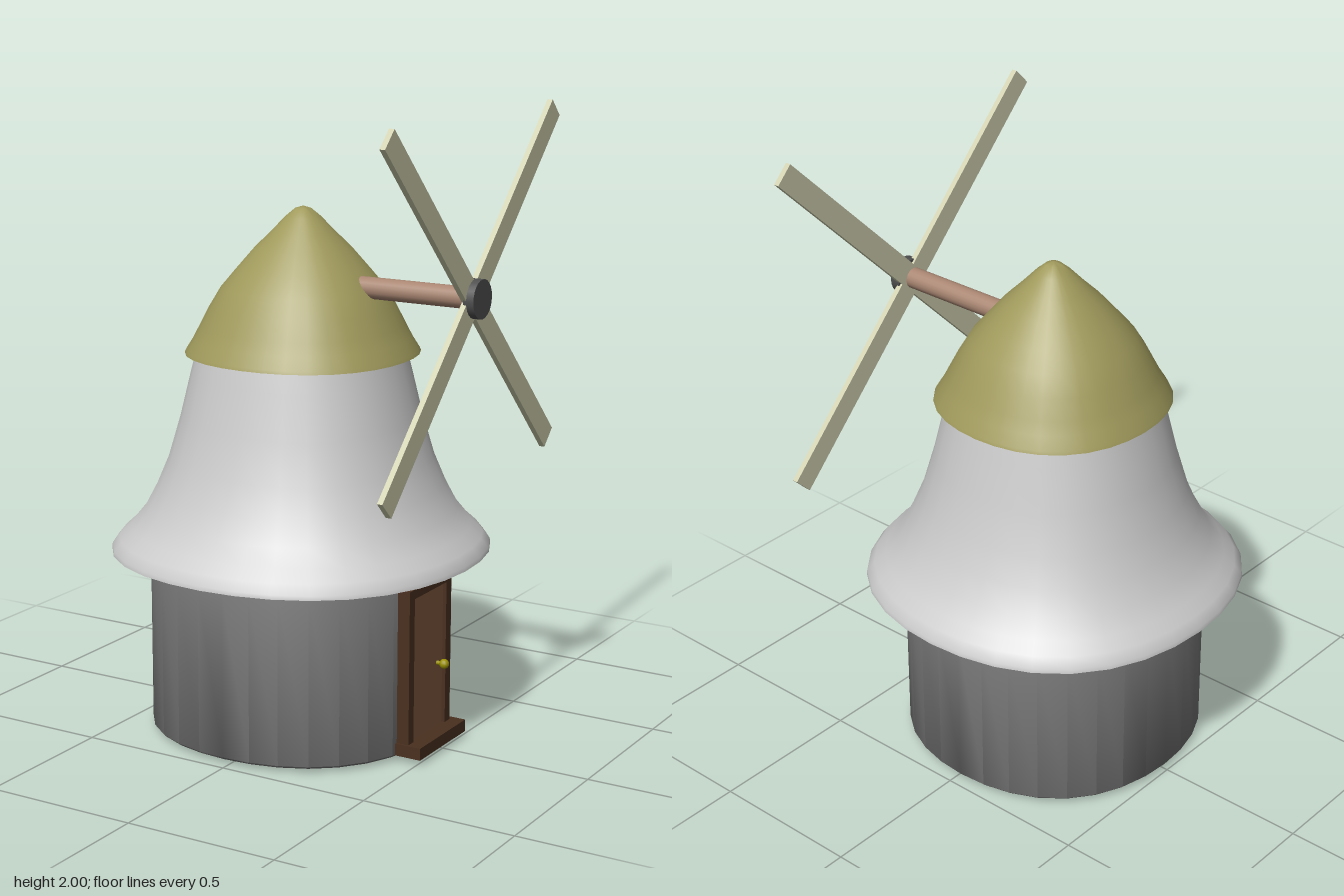
import * as THREE from 'three';
import { toCreasedNormals } from 'three/addons/utils/BufferGeometryUtils.js';

const AXIS_X = -0.02;   // centre line of the tower
const HUB_Y = 1.44, HUB_Z = -0.008;

export function createModel() {
  const group = new THREE.Group();
  group.name = 'windmill';

  const add = (name, geometry, color, x = 0, y = 0, z = 0, parent = group) => {
    const mesh = new THREE.Mesh(geometry, new THREE.MeshStandardMaterial({ color }));
    mesh.name = name;
    mesh.position.set(x, y, z);
    parent.add(mesh);
    return mesh;
  };

  // Box given by its min and max corners
  const block = (name, color, [x0, y0, z0], [x1, y1, z1], parent) =>
    add(name, new THREE.BoxGeometry(x1 - x0, y1 - y0, z1 - z0), color,
      (x0 + x1) / 2, (y0 + y1) / 2, (z0 + z1) / 2, parent);

  // Turned body, its rings slightly squared on the diagonals
  const turned = (name, color, profile, z = 0) => {
    const geometry = new THREE.LatheGeometry(profile.map(([r, y]) => new THREE.Vector2(r, y)), 32);
    const p = geometry.attributes.position;
    for (let i = 0; i < p.count; i++) {
      const s = Math.sin(2 * Math.atan2(p.getZ(i), p.getX(i)));
      const k = 1 + 0.033 * s * s;
      p.setX(i, p.getX(i) * k);
      p.setZ(i, p.getZ(i) * k);
    }
    return add(name, toCreasedNormals(geometry, 0.8), color, AXIS_X, 0, z);
  };

  // Tower: stone base, flared upper body, thatched cap
  turned('base', 0x777777, [
    [0, 0], [0.24, 0.003], [0.462, 0.012], [0.47, 0.02], [0.47, 0.56], [0.46, 0.59], [0, 0.6],
  ]);
  turned('upperBody', 0xcccccc, [
    [0, 0.587], [0.575, 0.587], [0.59, 0.592], [0.588, 0.605], [0.565, 0.635], [0.53, 0.668],
    [0.487, 0.722], [0.447, 0.8], [0.41, 0.89], [0.373, 1.02], [0.34, 1.16], [0.32, 1.24], [0, 1.25],
  ]);
  turned('cap', 0xa09a5c, [
    [0, 1.222], [0.362, 1.222], [0.358, 1.232], [0.335, 1.27], [0.315, 1.31], [0.285, 1.37], [0.25, 1.43],
    [0.205, 1.485], [0.15, 1.55], [0.1, 1.6], [0.055, 1.648], [0.025, 1.674], [0, 1.682],
  ], -0.008);

  // Rotor shaft and hub
  const axle = (radius, length, sides) =>
    new THREE.CylinderGeometry(radius, radius, length, sides).rotateZ(Math.PI / 2);
  add('rotorShaft', axle(0.034, 0.5, 20), 0xa98672, 0.33, HUB_Y + 0.005, HUB_Z);
  add('hub', axle(0.061, 0.035, 24), 0x505050, 0.592, HUB_Y + 0.005, HUB_Z);

  // Two crossed beams make the four sails
  for (const side of [-1, 1]) {
    const sail = add('sailBeam', new THREE.BoxGeometry(0.018, 1.504, 0.075), 0xd0d0b0, 0.576, HUB_Y, HUB_Z);
    sail.rotation.x = side * Math.PI / 4;
  }

  // Door with frame, step and knob
  const door = new THREE.Group();
  door.name = 'door';
  group.add(door);
  const dark = 0x4a3020;
  block('doorPanel', 0x7a563c, [0.37, 0.04, -0.08], [0.455, 0.53, 0.14], door);
  block('doorJamb', dark, [0.37, 0.04, 0.133], [0.467, 0.552, 0.165], door);
  block('doorJamb', dark, [0.37, 0.04, -0.105], [0.467, 0.552, -0.073], door);
  block('doorLintel', dark, [0.37, 0.522, -0.073], [0.467, 0.552, 0.133], door);
  block('doorStep', dark, [0.36, 0.018, -0.128], [0.512, 0.057, 0.172], door);
  add('doorKnob', new THREE.SphereGeometry(0.016, 12, 8), 0x9a9000, 0.481, 0.265, -0.038, door);
  add('knobStem', axle(0.007, 0.03, 8), 0x9a9000, 0.462, 0.265, -0.038, door);

  return group;
}
